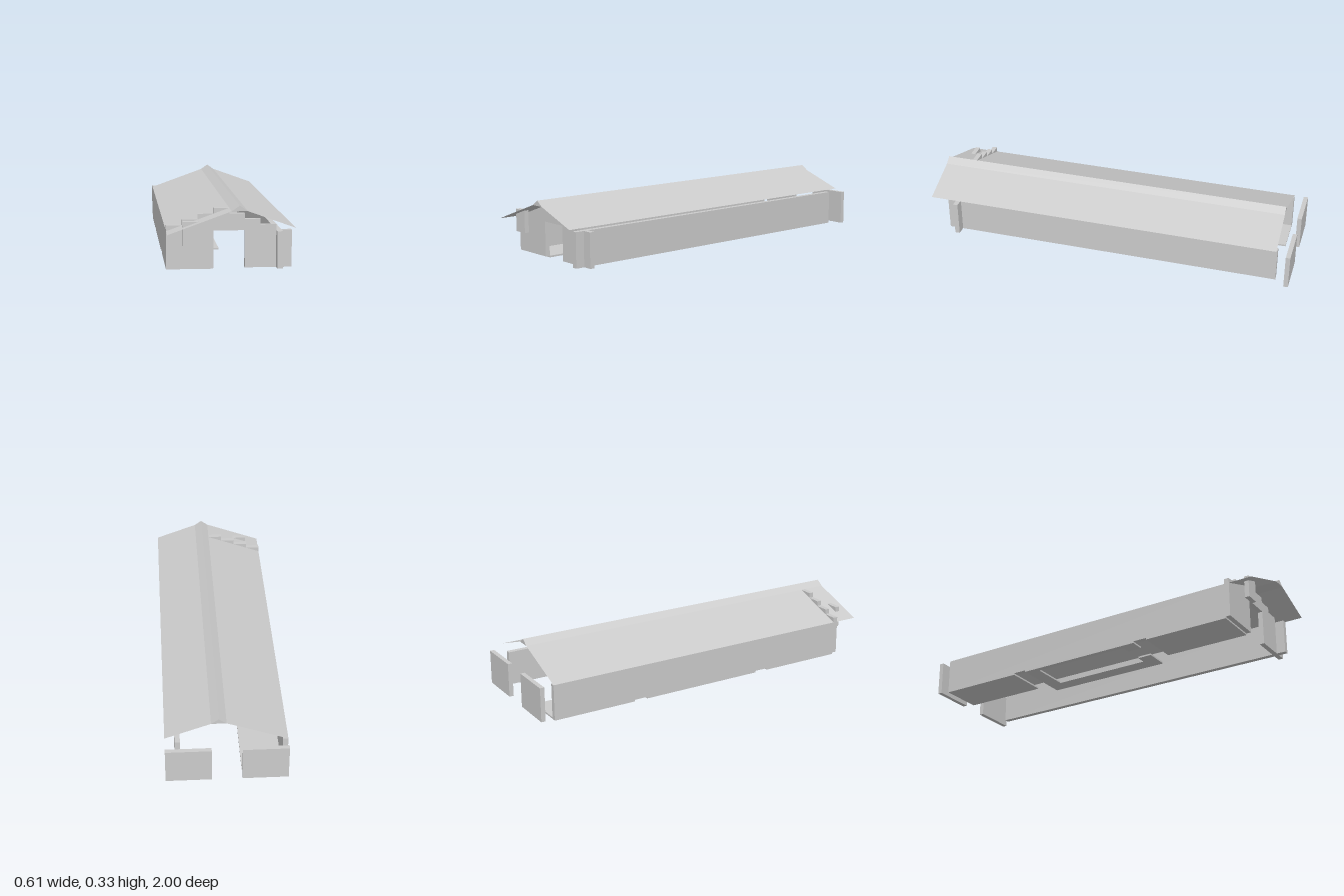
import * as THREE from 'three';

const material = new THREE.MeshStandardMaterial({ color: 0xcccccc, flatShading: true });
const thinMaterial = new THREE.MeshStandardMaterial({ color: 0xcccccc, flatShading: true, side: THREE.DoubleSide });

const S = 0.0768;            // horizontal module of the plan
const W = 4 * S;             // half width
const BASE = 0.009;          // underside of the walls
const EAVE = 0.193;          // top of the side walls
const STEP = 0.0277;         // height of one gable step
const BACK = -0.925;

export function createModel() {
  const group = new THREE.Group();

  const add = (name, geometry, mat = material) => {
    const mesh = new THREE.Mesh(geometry, mat);
    mesh.name = name;
    group.add(mesh);
    return mesh;
  };
  const box = (name, x0, x1, y0, y1, z0, z1) => {
    const mesh = add(name, new THREE.BoxGeometry(x1 - x0, y1 - y0, z1 - z0));
    mesh.position.set((x0 + x1) / 2, (y0 + y1) / 2, (z0 + z1) / 2);
  };
  // Extrudes an xy outline between two depths
  const extrude = (name, points, z0, z1) => {
    const shape = new THREE.Shape(points.map(([x, y]) => new THREE.Vector2(x, y)));
    const geometry = new THREE.ExtrudeGeometry(shape, { depth: z1 - z0, bevelEnabled: false });
    add(name, geometry.translate(0, 0, z0));
  };
  // Thin sloping sheet between two profile points
  const sheet = (name, [xa, ya], [xb, yb]) => {
    const geometry = new THREE.BufferGeometry();
    geometry.setAttribute('position', new THREE.Float32BufferAttribute(
      [xa, ya, 1, xb, yb, 1, xb, yb, BACK, xa, ya, BACK], 3));
    geometry.setIndex([0, 1, 2, 0, 2, 3]);
    geometry.computeVertexNormals();
    add(name, geometry, thinMaterial);
  };

  // Roof: two thin slopes and a solid triangular ridge
  const ridgeY = EAVE + 4 * STEP;
  sheet('leftSlope', [S, ridgeY], [W, EAVE + STEP]);
  sheet('rightSlope', [-W, EAVE], [0, ridgeY]);
  extrude('roofRidge', [[0, ridgeY], [S, ridgeY], [S / 2, 0.331]], BACK, 1);

  // Front wall with stepped gable and doorway
  const gable = [[-W, BASE]];
  [1, 2, 3, 4, 3, 2, 1, 0].forEach((level, i) => {
    const y = EAVE + level * STEP;
    gable.push([-W + i * S, y], [-W + (i + 1) * S, y]);
  });
  gable.push([W, BASE], [S, BASE], [S, EAVE], [-S, EAVE], [-S, BASE]);
  extrude('frontWall', gable, 0.85, 0.876);

  // Hanging panel in front of the wall
  box('frontPanel', -3 * S, -2 * S, 0.13, EAVE + 2 * STEP, 0.925, 0.95);

  // Side walls
  box('rightWall', -W, -W + 0.027, BASE, EAVE, BACK, 0.85);
  box('leftWall', 3 * S, 3 * S + 0.027, BASE, EAVE, BACK, 0.925);

  // Detached panels behind the building
  for (const [name, x] of [['backPanelRight', -W], ['backPanelLeft', S]]) {
    box(name, x, x + 3 * S, BASE, EAVE, -1, -0.976);
  }

  // Floor slabs at both ends
  box('frontFloor', -W, -S, 0, BASE, 0.387, 0.85);
  box('backFloor', -W, -S, 0, BASE, BACK, -0.46);

  // Open frame of floor strips in the middle
  const z0 = -0.385, z1 = 0.31;
  box('frameInnerStrip', -S, 0, 0, BASE, z0, z1);
  box('frameBackStrip', -W, -S, 0, BASE, z0, z0 + S);
  box('frameOuterStrip', -W, -W + 0.027, 0, BASE, z0 + S, z1);
  box('frameInnerFoot', -0.13, -S, 0, BASE, z1 - S, z1);
  box('frameOuterFoot', -W + 0.027, -3 * S, 0, BASE, z1 - S, z1);

  return group;
}
